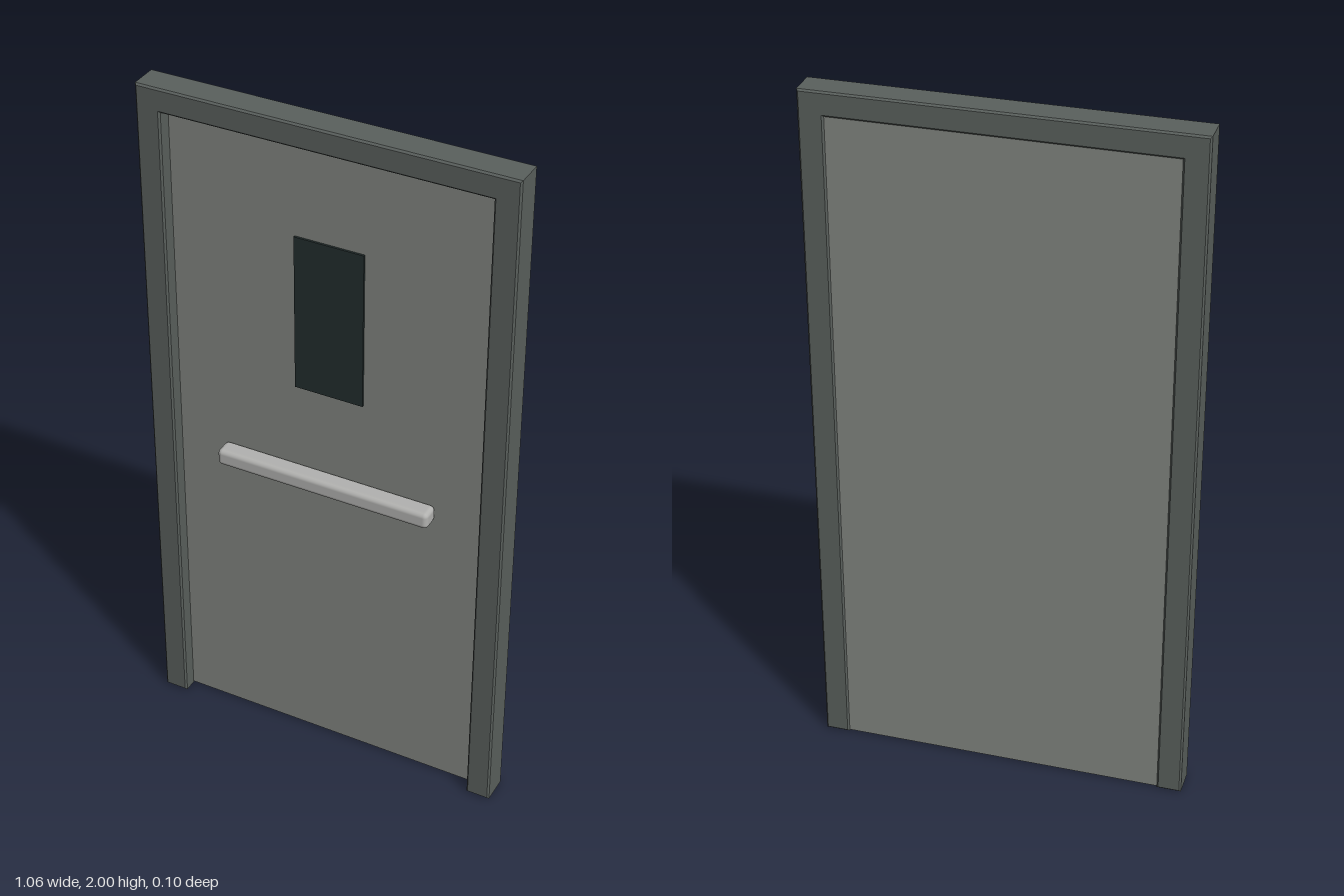
import * as THREE from 'three';
import { RoundedBoxGeometry } from 'three/addons/geometries/RoundedBoxGeometry.js';

const material = (name, color) => {
  const m = new THREE.MeshStandardMaterial({ color });
  m.name = name;
  return m;
};

export function createModel() {
  const frameGrey = material('frame grey', 0x5a605d);
  const doorGrey = material('door grey', 0x818580);
  const darkGlass = material('dark glass', 0x222d2d);
  const steel = material('brushed steel', 0xb2b2b0);

  const group = new THREE.Group();
  group.name = 'door';
  const add = (name, geometry, mat, x, y, z) => {
    const mesh = new THREE.Mesh(geometry, mat);
    mesh.name = name;
    mesh.position.set(x, y, z);
    group.add(mesh);
  };

  // Door frame: two jambs and a header in one piece with small bevels
  const outer = 0.53, inner = 0.46, top = 2, lintel = 1.932;
  const back = -0.051, front = 0.037, bevel = 0.005;
  const outline = new THREE.Shape([
    [-outer, 0], [-inner, 0], [-inner, lintel], [inner, lintel],
    [inner, 0], [outer, 0], [outer, top], [-outer, top],
  ].map(([x, y]) => new THREE.Vector2(x, y)));
  const frame = new THREE.ExtrudeGeometry(outline, {
    depth: front - back - 2 * bevel,
    bevelEnabled: true, bevelSegments: 1,
    bevelSize: bevel, bevelThickness: bevel, bevelOffset: -bevel,
  });
  add('frame', frame, frameGrey, 0, 0, back + bevel);

  // Door leaf, set back from the front and almost flush at the rear
  const leafFront = -0.005, leafBack = -0.046;
  add('doorLeaf', new THREE.BoxGeometry(2 * inner, lintel - 0.004, leafFront - leafBack),
    doorGrey, 0, (lintel + 0.004) / 2, (leafFront + leafBack) / 2);

  // Window plate
  add('window', new THREE.BoxGeometry(0.2, 0.46, 0.008), darkGlass, 0, 1.425, leafFront + 0.002);

  // Push bar
  const barFront = 0.051;
  add('pushBar', new RoundedBoxGeometry(0.636, 0.05, barFront - leafFront, 2, 0.014),
    steel, 0, 0.922, (barFront + leafFront) / 2);

  return group;
}
